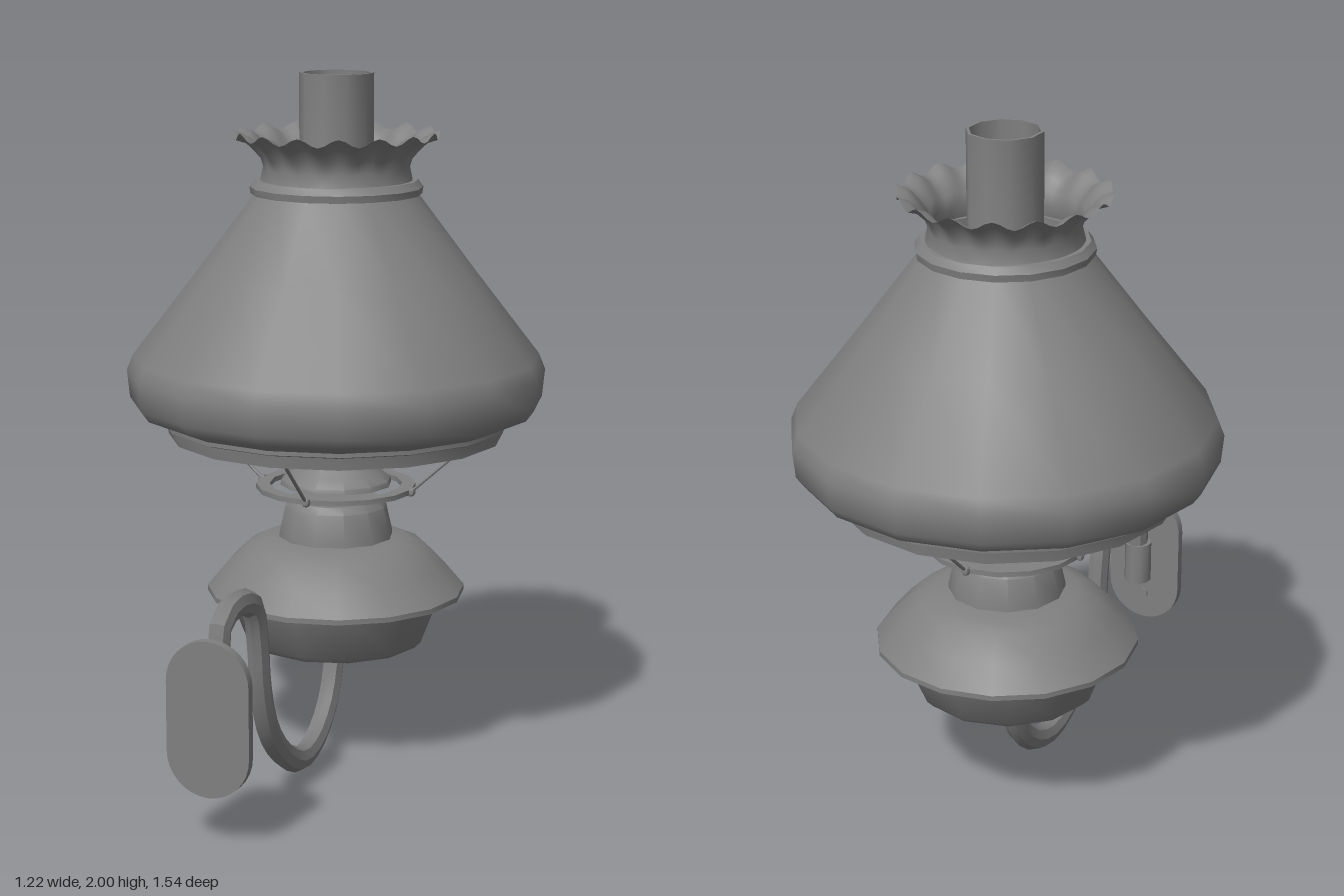
import * as THREE from 'three';
import { toCreasedNormals } from 'three/addons/utils/BufferGeometryUtils.js';

const darkGrey = new THREE.MeshStandardMaterial({ color: 0x808080, side: THREE.DoubleSide });

function add(parent, name, geometry, crease = 0.7) {
  const mesh = new THREE.Mesh(toCreasedNormals(geometry, crease), darkGrey);
  mesh.name = name;
  parent.add(mesh);
  return mesh;
}

// Turned part from [radius, height] pairs, bottom to top
function turned(parent, name, profile, sides, crease) {
  const points = profile.map(([r, y]) => new THREE.Vector2(r, y));
  return add(parent, name, new THREE.LatheGeometry(points, sides), crease);
}

// Straight round bar between two points
function bar(parent, name, a, b, radius, sides = 6) {
  const geometry = new THREE.CylinderGeometry(radius, radius, a.distanceTo(b), sides);
  const mesh = add(parent, name, geometry, 1.1);
  mesh.position.copy(a).lerp(b, 0.5);
  mesh.quaternion.setFromUnitVectors(new THREE.Vector3(0, 1, 0), b.clone().sub(a).normalize());
}

// Flared collar whose rim rises and falls in soft scallops
function ruffle(parent) {
  const profile = [[0.22, 1.69], [0.21, 1.73], [0.22, 1.765], [0.245, 1.795], [0.265, 1.815], [0.295, 1.825]];
  const geometry = new THREE.LatheGeometry(profile.map(([r, y]) => new THREE.Vector2(r, y)), 96);
  const p = geometry.attributes.position;
  for (let i = 0; i < p.count; i++) {
    const x = p.getX(i), y = p.getY(i), z = p.getZ(i);
    const wave = Math.cos(16 * Math.atan2(x, z)) * THREE.MathUtils.clamp((y - 1.69) / 0.13, 0, 1);
    const s = 1 + 0.008 * wave;
    p.setXYZ(i, x * s, y + 0.012 * wave, z * s);
  }
  add(parent, 'ruffledCollar', geometry, 1.0);
}

export function createModel() {
  const model = new THREE.Group();
  model.name = 'wallOilLamp';

  const lamp = new THREE.Group();
  lamp.name = 'lamp';
  lamp.position.z = -0.16;
  model.add(lamp);

  // Shade with its upper and lower bands
  turned(lamp, 'shade', [
    [0.47, 0.99], [0.52, 1.005], [0.58, 1.03], [0.602, 1.06], [0.61, 1.14],
    [0.592, 1.185], [0.4, 1.435], [0.232, 1.66]], 16);
  turned(lamp, 'shadeRing', [
    [0.455, 0.955], [0.49, 0.95], [0.496, 0.985], [0.51, 0.99], [0.51, 1.005],
    [0.46, 1.0], [0.455, 0.955]], 16, 0.5);
  turned(lamp, 'shadeCollar', [
    [0.21, 1.65], [0.247, 1.655], [0.25, 1.675], [0.235, 1.695], [0.21, 1.695], [0.21, 1.65]], 16, 0.5);
  ruffle(lamp);

  // Glass chimney with a bulge hidden inside the shade
  turned(lamp, 'chimney', [
    [0.085, 0.87], [0.11, 0.95], [0.115, 1.01], [0.19, 1.05], [0.27, 1.12], [0.23, 1.22],
    [0.14, 1.36], [0.107, 1.5], [0.107, 2], [0.098, 2], [0.098, 1.5]], 10, 0.75);

  // Burner
  turned(lamp, 'burner', [
    [0, 0.8], [0.165, 0.8], [0.162, 0.815], [0.13, 0.84], [0.1, 0.87], [0.085, 0.885], [0, 0.885]], 12);

  // Carrier ring and the four rods holding the shade
  turned(lamp, 'carrierRing', [
    [0.195, 0.785], [0.235, 0.785], [0.235, 0.8], [0.195, 0.8], [0.195, 0.785]], 16, 0.5);
  for (let i = 0; i < 4; i++) {
    const a = i * Math.PI / 2, s = Math.sin(a), c = Math.cos(a);
    const foot = new THREE.Vector3(0.235 * s, 0.793, 0.235 * c);
    bar(lamp, 'shadeRod', foot, new THREE.Vector3(0.42 * s, 0.96, 0.42 * c), 0.005);
    add(lamp, 'rodKnob', new THREE.SphereGeometry(0.014, 8, 6), 1.1).position.copy(foot);
  }

  // Oil font: neck, body and lower cup
  turned(lamp, 'fontNeck', [
    [0.17, 0.63], [0.168, 0.655], [0.15, 0.735], [0.135, 0.755], [0, 0.755]], 12, 0.6);
  turned(lamp, 'fontBody', [
    [0.29, 0.475], [0.38, 0.475], [0.38, 0.49], [0.32, 0.56], [0.258, 0.618],
    [0.21, 0.638], [0.15, 0.645]], 16, 0.6);
  turned(lamp, 'fontCup', [
    [0, 0.322], [0.25, 0.322], [0.268, 0.34], [0.315, 0.46], [0.3, 0.478]], 12, 0.6);

  // Faceted swan-neck arm
  const path = [
    [-0.158, 0.36], [-0.15, 0.28], [-0.1, 0.15], [0.0, 0.062], [0.12, 0.038], [0.25, 0.095],
    [0.355, 0.2], [0.41, 0.34], [0.428, 0.48], [0.46, 0.585], [0.53, 0.62], [0.62, 0.622],
    [0.678, 0.59], [0.692, 0.52], [0.697, 0.42]].map(([z, y]) => new THREE.Vector3(0, y, z));
  const arm = add(model, 'arm', new THREE.TubeGeometry(new THREE.CatmullRomCurve3(path), 28, 0.038, 8), 0.5);
  arm.scale.x = 0.8;

  // Wall bracket: socket, pin, plate and screws
  const at = (y, z) => new THREE.Vector3(0, y, z);
  bar(model, 'socket', at(0.295, 0.698), at(0.425, 0.698), 0.042, 10);
  bar(model, 'socketPin', at(0.4, 0.72), at(0.4, 0.752), 0.025, 8);
  for (const y of [0.225, 0.5]) bar(model, 'plateScrew', at(y, 0.736), at(y, 0.75), 0.016, 8);

  const outline = new THREE.Shape();
  outline.absarc(0, 0.455, 0.12, 0, Math.PI);
  outline.absarc(0, 0.26, 0.12, Math.PI, 2 * Math.PI);
  outline.closePath();
  const plate = add(model, 'wallPlate',
    new THREE.ExtrudeGeometry(outline, { depth: 0.027, bevelEnabled: false, curveSegments: 8 }), 0.7);
  plate.position.z = 0.743;

  return model;
}
